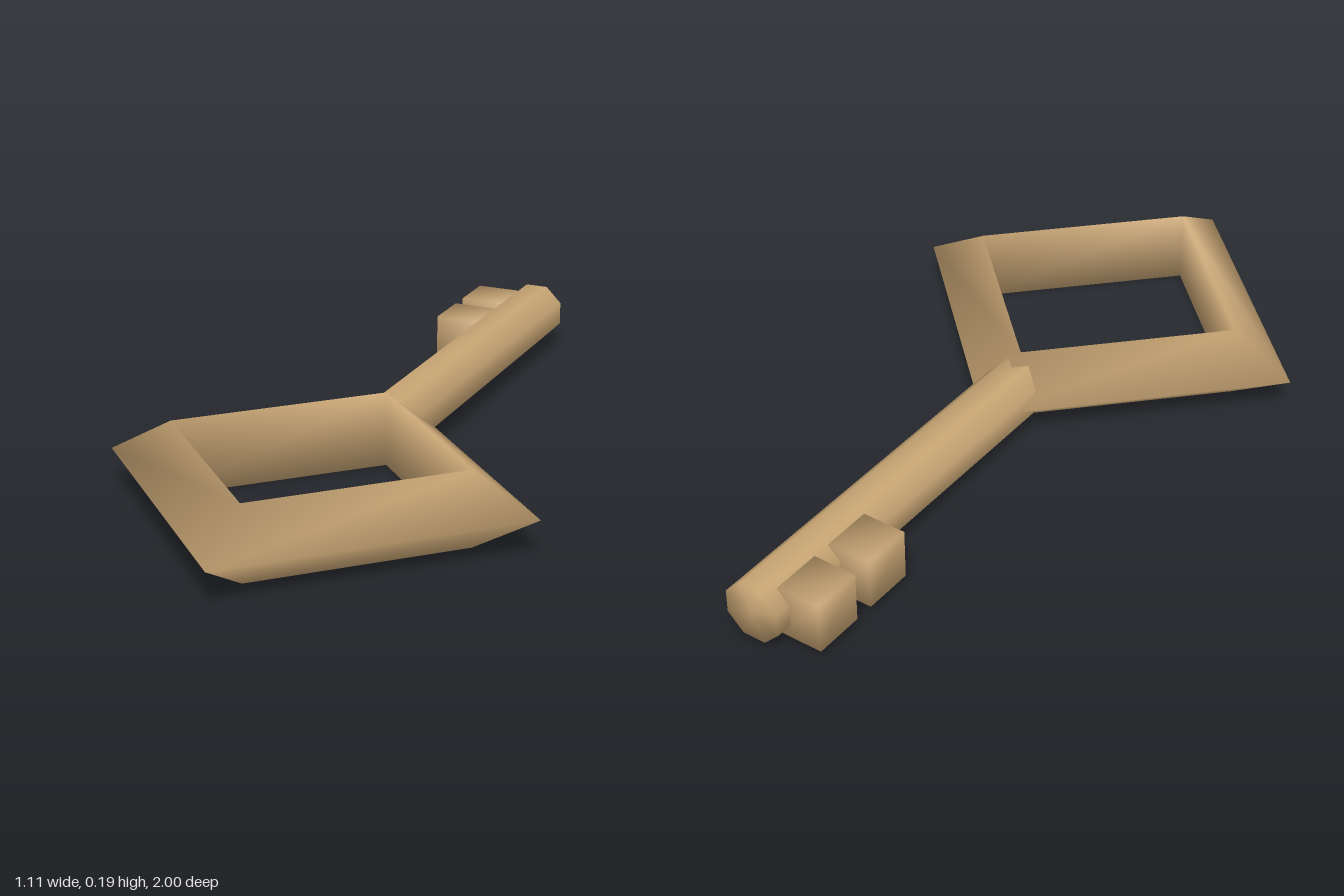
import * as THREE from 'three';
import { mergeVertices } from 'three/addons/utils/BufferGeometryUtils.js';

const MID = 0.097; // height of the key's centre plane

// Weld all shared corners so shading runs softly over every edge
function soften(geometry) {
  geometry.deleteAttribute('normal');
  geometry.deleteAttribute('uv');
  const welded = mergeVertices(geometry, 1e-4);
  welded.computeVertexNormals();
  return welded;
}

export function createModel() {
  const key = new THREE.Group();
  key.name = 'key';
  const brass = new THREE.MeshStandardMaterial({ color: 0xc8a574 });
  brass.name = 'tan brass';

  function add(name, geometry, x, z) {
    const mesh = new THREE.Mesh(soften(geometry), brass);
    mesh.name = name;
    mesh.position.set(x, MID, z);
    key.add(mesh);
  }

  // Diamond-shaped bow with a triangular section
  add('bow', new THREE.TorusGeometry(0.445, 0.111, 3, 4).rotateX(Math.PI / 2), 0, 0.443);

  // Eight-sided shaft with flats facing up, down and sideways
  const start = -1, end = 0.05;
  const shaft = new THREE.CylinderGeometry(0.079, 0.079, end - start, 8)
    .rotateY(Math.PI / 8)
    .rotateX(Math.PI / 2);
  add('shaft', shaft, 0, (start + end) / 2);

  // Two teeth on the right side near the tip
  [-0.892, -0.71].forEach((z, i) => {
    add(`tooth${i + 1}`, new THREE.BoxGeometry(0.115, 0.13, 0.132), -0.1, z);
  });

  return key;
}
